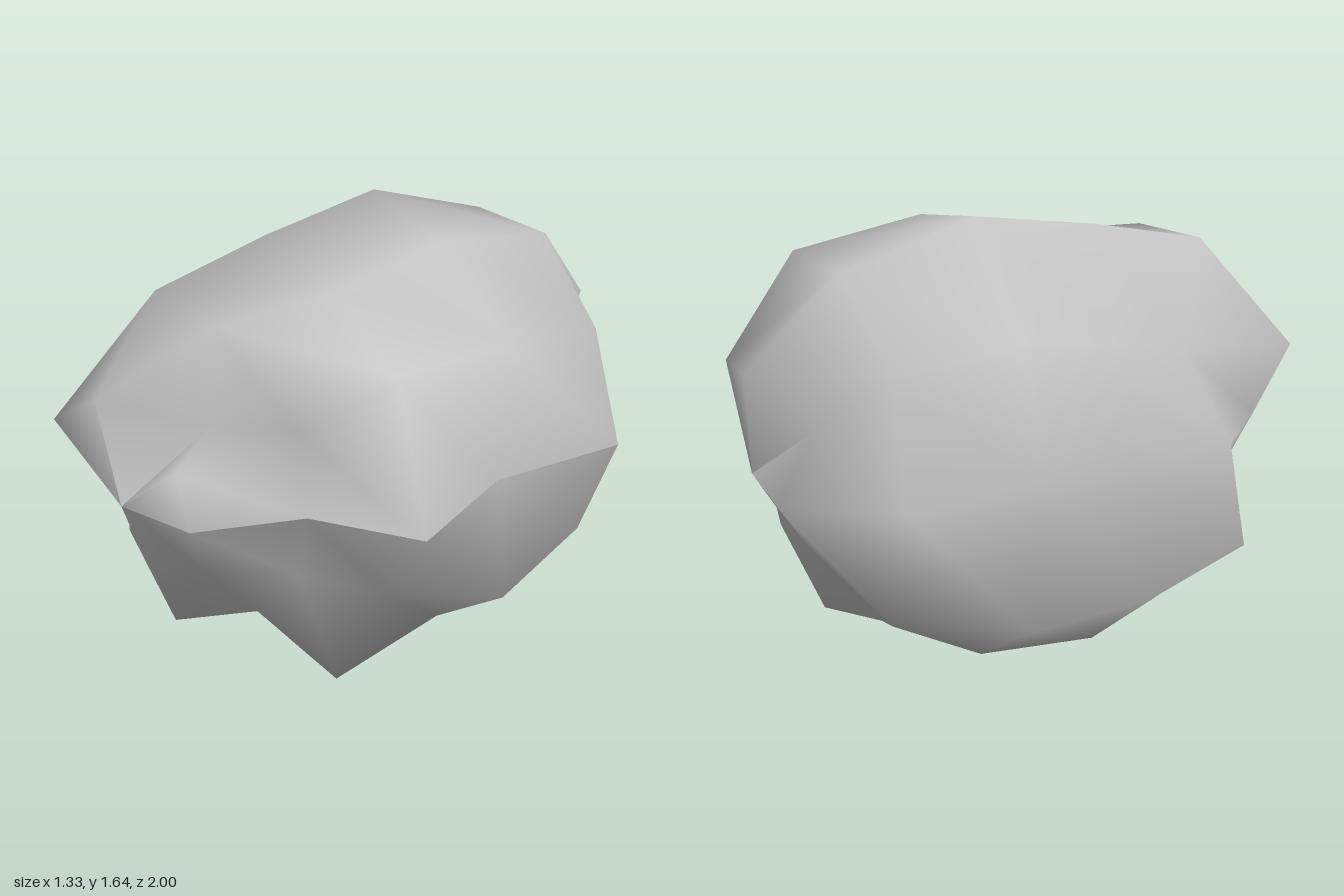
import * as THREE from 'three';

// Boulder: a stretched ball with its poles on z, each point pushed in or out.
const SEGMENTS = 10;
const CENTER = [-0.09, 0.84, -0.02];
const STRETCH = [1, 1.16, 1.44];
const FRONT_POLE = 0.646, BACK_POLE = 0.65;

// Radius factors per ring, front to back; each ring runs from +x over the top.
const RINGS = [
  [0.64, 0.65, 0.48, 0.73, 0.785, 0.66, 0.62, 0.63, 0.55, 0.60],
  [0.53, 0.50, 0.73, 0.74, 0.55, 0.65, 0.765, 0.75, 0.573, 0.51],
  [0.77, 0.76, 0.60, 0.68, 0.575, 0.53, 0.72, 0.72, 0.78, 0.57],
  [0.585, 0.72, 0.685, 0.744, 0.667, 0.535, 0.73, 0.68, 0.707, 0.73],
  [0.785, 0.76, 0.77, 0.767, 0.73, 0.737, 0.75, 0.63, 0.71, 0.75],
  [0.50, 0.52, 0.745, 0.758, 0.62, 0.75, 0.65, 0.60, 0.55, 0.56],
];

function rockGeometry() {
  const rows = [Array(SEGMENTS).fill(FRONT_POLE), ...RINGS, Array(SEGMENTS).fill(BACK_POLE)];
  const last = rows.length - 1;
  const columns = SEGMENTS + 1; // the seam column is doubled, leaving a crease
  const positions = [], index = [];
  rows.forEach((row, i) => {
    const theta = Math.PI * i / last;
    for (let k = 0; k < columns; k++) {
      const phi = 2 * Math.PI * k / SEGMENTS;
      const r = row[k % SEGMENTS];
      positions.push(
        CENTER[0] + STRETCH[0] * r * Math.sin(theta) * Math.cos(phi),
        CENTER[1] + STRETCH[1] * r * Math.sin(theta) * Math.sin(phi),
        CENTER[2] + STRETCH[2] * r * Math.cos(theta),
      );
    }
  });
  for (let i = 0; i < last; i++) {
    for (let k = 0; k < SEGMENTS; k++) {
      const a = i * columns + k, b = a + 1, c = a + columns, d = c + 1;
      // single triangles in the fans at the two poles, pairs elsewhere
      if (i > 0) index.push(a, c, b);
      if (i < last - 1) index.push(b, c, d);
    }
  }
  const geometry = new THREE.BufferGeometry();
  geometry.setAttribute('position', new THREE.Float32BufferAttribute(positions, 3));
  geometry.setIndex(index);
  geometry.computeVertexNormals();
  return geometry;
}

export function createModel() {
  const stone = new THREE.MeshStandardMaterial({ color: 0xc2c2c2 });
  stone.name = 'grey stone';
  const rock = new THREE.Mesh(rockGeometry(), stone);
  rock.name = 'rock';
  const group = new THREE.Group();
  group.name = 'boulder';
  group.add(rock);
  return group;
}
